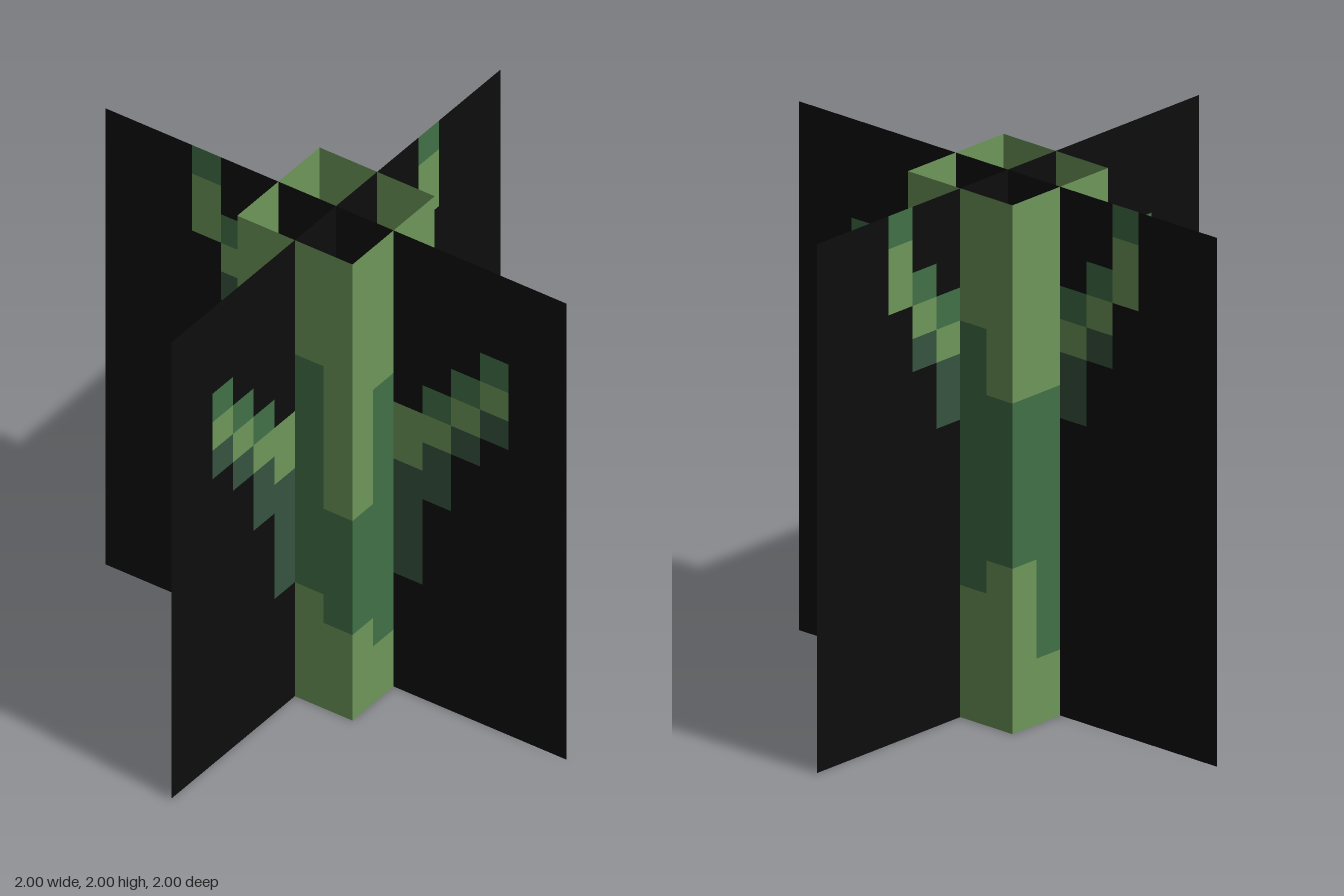
import * as THREE from 'three';
import { mergeGeometries } from 'three/addons/utils/BufferGeometryUtils.js';

const U = 1 / 8; // one block of the pixel grid

const flat = (name, color) => {
  const m = new THREE.MeshStandardMaterial({ color, side: THREE.DoubleSide });
  m.name = name;
  return m;
};

export function createModel() {
  const materials = {
    black: flat('black', 0x0d0d0d),
    light: flat('lightGreen', 0x6d975a),
    green: flat('midGreen', 0x417146),
    dark: flat('darkGreen', 0x36533f),
  };

  // Upright panel in the xy plane: each column is a stack of [colour, top] runs starting at y = 0
  function panel(name, startX, columns) {
    const byColour = {};
    columns.forEach((runs, i) => {
      let bottom = 0;
      for (const [colour, top] of runs) {
        const g = new THREE.PlaneGeometry(U, (top - bottom) * U);
        g.translate((startX + i + 0.5) * U, ((top + bottom) / 2) * U, 0);
        (byColour[colour] ??= []).push(g);
        bottom = top;
      }
    });
    const group = new THREE.Group();
    group.name = name;
    for (const [colour, parts] of Object.entries(byColour)) {
      const mesh = new THREE.Mesh(mergeGeometries(parts), materials[colour]);
      mesh.name = `${name} ${colour}`;
      group.add(mesh);
    }
    return group;
  }

  const model = new THREE.Group();
  model.name = 'cactus';

  // Branch columns, keyed by column position: [dark from, light from, green from, end]
  const branches = {
    '-5': [13, 13, 15, 16],
    '-4': [11, 12, 13, 14],
    '-3': [9, 11, 12, 13],
    2: [4, 8, 10, 10],
    3: [7, 9, 10, 11],
    4: [9, 10, 11, 12],
    5: [10, 11, 12, 13],
  };
  const bladeColumns = [];
  for (let c = -8; c < 8; c++) {
    const b = branches[c];
    const runs = b
      ? [['black', b[0]], ['dark', b[1]], ['light', b[2]], ['green', b[3]], ['black', 16]]
      : [['black', 16]];
    let last = 0;
    bladeColumns.push(runs.filter(([, top]) => {
      const keep = top > last;
      last = top;
      return keep;
    }));
  }

  // Two crossed blades carrying the branches
  model.add(panel('sideBlade', -8, bladeColumns));
  const depthBlade = panel('depthBlade', -8, bladeColumns);
  depthBlade.rotation.y = -Math.PI / 2; // +x branch turns to +z
  model.add(depthBlade);

  // Open square stem: each face has four columns with a mid green band [from, to]
  const stemFaces = [
    ['stemFront', 0, [[4, 7], [4, 12], [4, 12], [3, 7]]],
    ['stemRight', 1, [[3, 7], [2, 11], [2, 11], [5, 9]]],
    ['stemBack', 2, [[5, 9], [4, 12], [4, 12], [5, 10]]],
    ['stemLeft', 3, [[5, 10], [2, 10], [2, 10], [4, 7]]],
  ];
  for (const [name, turn, bands] of stemFaces) {
    const face = panel(name, -2, bands.map(([a, b]) => [['light', a], ['green', b], ['light', 16]]));
    face.rotation.y = (turn * Math.PI) / 2;
    face.position.set(Math.sin(face.rotation.y) * 2 * U, 0, Math.cos(face.rotation.y) * 2 * U);
    model.add(face);
  }
  return model;
}
